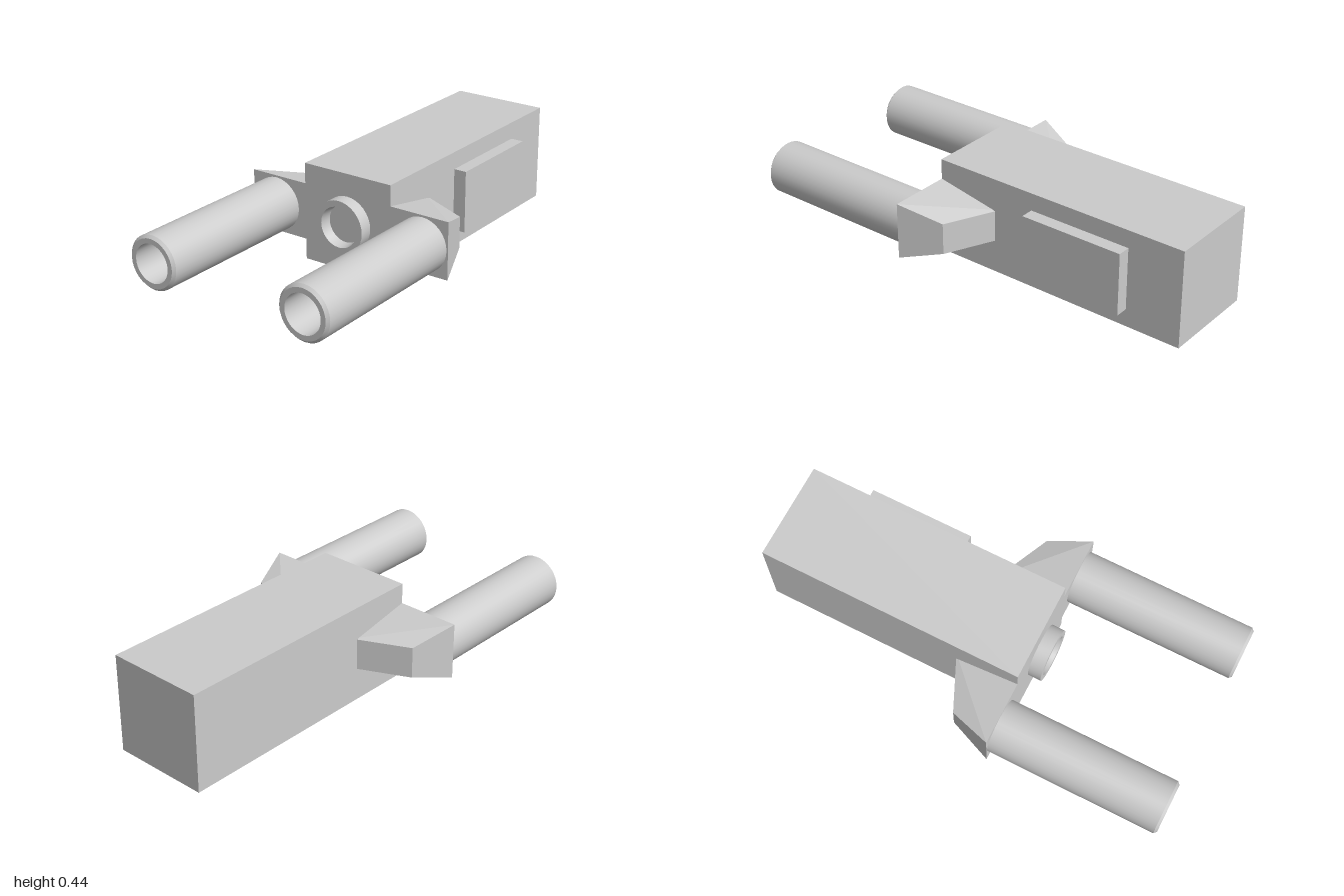
import * as THREE from 'three';
import { toCreasedNormals } from 'three/addons/utils/BufferGeometryUtils.js';
import { ConvexGeometry } from 'three/addons/geometries/ConvexGeometry.js';

const MID = 0.222;     // height of the centre line
const FRONT = 0.217;   // front plane of the housing
const material = new THREE.MeshStandardMaterial({ color: 0xcccccc });

function part(name, geometry, x = 0, y = 0, z = 0) {
  const mesh = new THREE.Mesh(geometry, material);
  mesh.name = name;
  mesh.position.set(x, y, z);
  return mesh;
}

// Turned part along +z from [radius, z] pairs, with sharp rims
function turned(profile) {
  const points = profile.map(([r, z]) => new THREE.Vector2(r, z));
  const geometry = new THREE.LatheGeometry(points, 32).rotateX(Math.PI / 2);
  return toCreasedNormals(geometry, Math.PI / 6);
}

// Tapered shoulder: tall at the front plane, narrowing to a slanted rear face
function shoulder(side) {
  const outline = [ // x, z, half height
    [0.2, FRONT, 0.129], [0.507, FRONT, 0.129],
    [0.44, 0.026, 0.071], [0.2, -0.084, 0.071],
  ];
  const corners = outline.flatMap(([x, z, h]) =>
    [h, -h].map((dy) => new THREE.Vector3(side * x, MID + dy, z)));
  return new ConvexGeometry(corners);
}

export function createModel() {
  const group = new THREE.Group();

  // Main housing and the raised panel on its left side
  const length = FRONT + 1;
  group.add(part('housing', new THREE.BoxGeometry(0.444, 2 * MID, length), 0, MID, FRONT - length / 2));
  group.add(part('sidePanel', new THREE.BoxGeometry(0.08, 0.285, 0.48), 0.241, MID, -0.505));

  // Shallow socket in the middle of the front
  const socket = turned([[0.12, 0], [0.12, 0.06], [0.092, 0.06], [0.085, 0.01], [0, 0.01]]);
  group.add(part('frontSocket', socket, 0, MID, FRONT));

  // Shoulders carrying hollow tubes with chamfered mouths
  const tube = turned([
    [0.12, 0], [0.12, 0.771], [0.108, 0.783], [0.0855, 0.783], [0.0855, 0.02], [0, 0.02],
  ]);
  for (const [side, label] of [[1, 'left'], [-1, 'right']]) {
    group.add(part(label + 'Shoulder', shoulder(side)));
    group.add(part(label + 'Tube', tube, side * 0.38, MID, FRONT));
  }
  return group;
}
